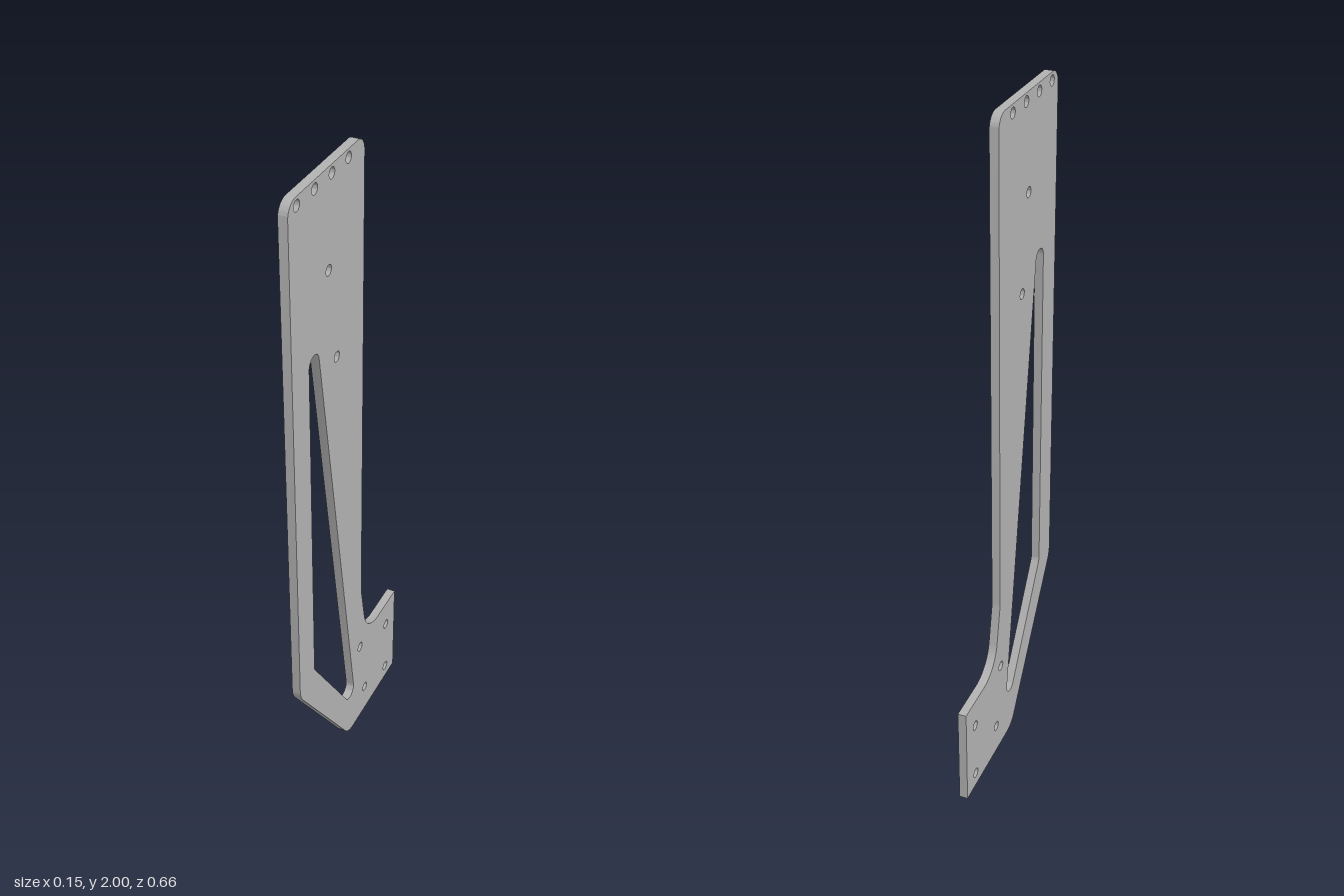
import * as THREE from 'three';
import { toCreasedNormals } from 'three/addons/utils/BufferGeometryUtils.js';

const TILT = THREE.MathUtils.degToRad(10.6); // plate is turned slightly about y
const THICKNESS = 0.0255;

// Counter-clockwise polygon of [x, y, radius] corners, each rounded by a true arc
function filletedShape(corners) {
  const shape = new THREE.Shape();
  const n = corners.length;
  corners.forEach(([x, y, r], i) => {
    const c = new THREE.Vector2(x, y);
    const before = corners[(i + n - 1) % n], after = corners[(i + 1) % n];
    const a = new THREE.Vector2(before[0], before[1]).sub(c).normalize();
    const b = new THREE.Vector2(after[0], after[1]).sub(c).normalize();
    const half = Math.acos(a.dot(b)) / 2;
    const start = c.clone().addScaledVector(a, r / Math.tan(half));
    if (i === 0) shape.moveTo(start.x, start.y);
    else shape.lineTo(start.x, start.y);
    if (r === 0) return;
    const end = c.clone().addScaledVector(b, r / Math.tan(half));
    const o = c.clone().addScaledVector(a.clone().add(b).normalize(), r / Math.sin(half));
    const concave = a.x * b.y - a.y * b.x > 0;
    shape.absarc(o.x, o.y, r, Math.atan2(start.y - o.y, start.x - o.x),
      Math.atan2(end.y - o.y, end.x - o.x), concave);
  });
  shape.closePath();
  return shape;
}

// Slot wrapped around equal circles at counter-clockwise centres
function wrappedHole(centres, r) {
  const path = new THREE.Path();
  const n = centres.length;
  const normal = (p, q) => Math.atan2(q[1] - p[1], q[0] - p[0]) - Math.PI / 2;
  centres.forEach((c, i) => {
    const from = normal(centres[(i + n - 1) % n], c);
    const to = normal(c, centres[(i + 1) % n]);
    if (i === 0) path.moveTo(c[0] + r * Math.cos(from), c[1] + r * Math.sin(from));
    path.absarc(c[0], c[1], r, from, to, false);
  });
  path.closePath();
  return path;
}

export function createModel() {
  const group = new THREE.Group();
  group.name = 'bracketPlate';
  const grey = new THREE.MeshStandardMaterial({ color: 0xb2b2b2 });
  grey.name = 'plain grey';

  // Outline: tall blade with a slanted lower edge and a square foot
  const outline = filletedShape([
    [-0.016, 0, 0.07], [0.328, 0, 0], [0.328, 0.321, 0], [0.115, 0.321, 0.103],
    [0.074, 0.53, 0.1], [0.074, 2, 0.04], [-0.33, 2, 0.04], [-0.33, 0.453, 0.08],
  ]);

  // Long triangular window
  outline.holes.push(wrappedHole([[-0.212, 1.508], [-0.212, 0.493], [-0.005, 0.178]], 0.0275));

  // Screw holes: top row, two in the blade, four in the foot
  const screws = [
    [-0.127, 1.73], [-0.085, 1.458],
    [0.069, 0.302], [0.106, 0.095], [0.264, 0.231], [0.264, 0.045],
  ];
  for (let i = 0; i < 4; i++) screws.push([-0.286 + i * 0.09, 1.977]);
  for (const [x, y] of screws) {
    outline.holes.push(new THREE.Path().absarc(x, y, 0.015, 0, Math.PI * 2, true));
  }

  const geometry = new THREE.ExtrudeGeometry(outline, {
    depth: THICKNESS, bevelEnabled: false, curveSegments: 12,
  });
  geometry.translate(0.001, 0, -THICKNESS / 2);
  geometry.scale(1 / Math.cos(TILT), 1, 1); // outline is laid out as seen from the side
  geometry.rotateY(Math.PI / 2 - TILT);

  const plate = new THREE.Mesh(toCreasedNormals(geometry, 0.6), grey);
  plate.name = 'plate';
  group.add(plate);
  return group;
}
